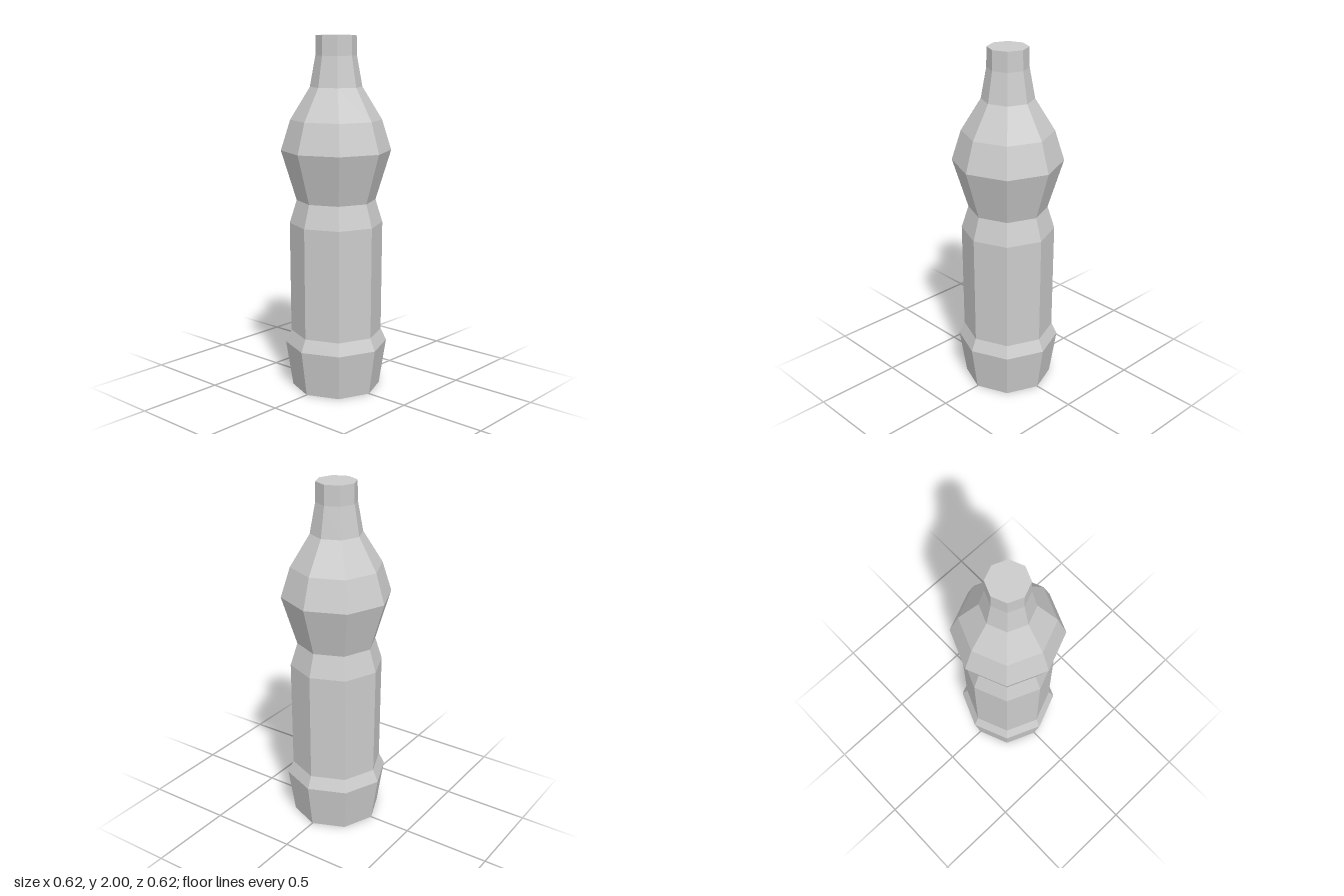
import * as THREE from 'three';

const SIDES = 8;
const material = new THREE.MeshStandardMaterial({ color: 0xcccccc, flatShading: true });

// Eight-sided turned section from [radius, height] pairs, bottom to top
function turned(name, profile) {
  const points = profile.map(([r, y]) => new THREE.Vector2(r, y));
  const mesh = new THREE.Mesh(new THREE.LatheGeometry(points, SIDES), material);
  mesh.name = name;
  return mesh;
}

export function createModel() {
  const bottle = new THREE.Group();
  bottle.name = 'bottle';

  bottle.add(
    // Flared foot with closed underside
    turned('base', [[0, 0], [0.25, 0], [0.29, 0.26], [0.258, 0.33]]),
    // Straight grip section narrowing to the waist
    turned('body', [[0.258, 0.33], [0.262, 0.96], [0.222, 1.09]]),
    // Bulge above the waist, tapering up to the neck
    turned('shoulder', [[0.222, 1.09], [0.308, 1.37], [0.255, 1.54], [0.145, 1.72]]),
    // Neck with closed flat top
    turned('neck', [[0.145, 1.72], [0.114, 1.89], [0.112, 2], [0, 2]])
  );

  return bottle;
}
